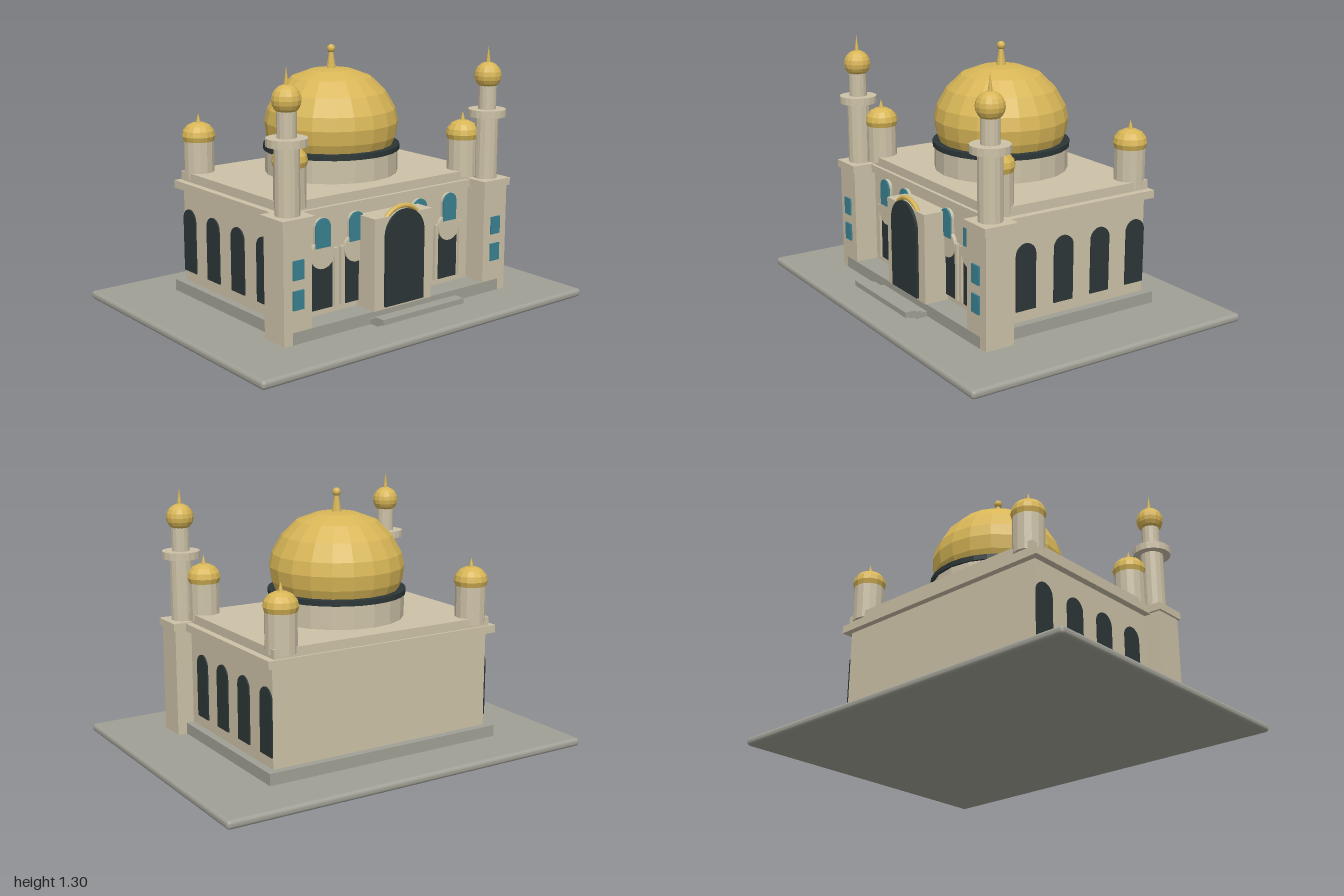
import * as THREE from 'three';
import { RoundedBoxGeometry } from 'three/addons/geometries/RoundedBoxGeometry.js';

const paint = (name, color) => {
  const m = new THREE.MeshStandardMaterial({ color });
  m.name = name;
  return m;
};

export function createModel() {
  const stone = paint('sandstone', 0xcdc2a8);
  const gold = paint('gold', 0xd8b657);
  const paving = paint('grey paving', 0xa0a096);
  const dark = paint('dark glass', 0x2c3637);
  const teal = paint('teal glass', 0x3a8292);
  const model = new THREE.Group();
  model.name = 'domedHall';

  const add = (name, geometry, material, x = 0, y = 0, z = 0, parent = model) => {
    const mesh = new THREE.Mesh(geometry, material);
    mesh.name = name;
    mesh.position.set(x, y, z);
    parent.add(mesh);
    return mesh;
  };
  // Box given by its extents
  const box = (name, mat, x0, x1, y0, y1, z0, z1, parent) =>
    add(name, new THREE.BoxGeometry(x1 - x0, y1 - y0, z1 - z0), mat,
      (x0 + x1) / 2, (y0 + y1) / 2, (z0 + z1) / 2, parent);
  // Faceted normals
  const faceted = (geometry) => {
    const g = geometry.toNonIndexed();
    g.computeVertexNormals();
    return g;
  };
  // Turned part with faceted sides, profile from bottom to top
  const turned = (name, mat, profile, sides, x, z, parent) =>
    add(name, faceted(new THREE.LatheGeometry(profile.map(([r, y]) => new THREE.Vector2(r, y)), sides)),
      mat, x, 0, z, parent);
  const drum = (name, mat, r, y0, y1, sides, x, z, parent) =>
    turned(name, mat, [[0, y0], [r, y0], [r, y1], [0, y1]], sides, x, z, parent);
  // Round-headed plate, standing on its local origin
  const archPlate = (w, h, depth) => {
    const s = new THREE.Shape();
    s.moveTo(-w / 2, 0);
    s.lineTo(w / 2, 0);
    s.lineTo(w / 2, h - w / 2);
    s.absarc(0, h - w / 2, w / 2, 0, Math.PI, false);
    s.lineTo(-w / 2, 0);
    return new THREE.ExtrudeGeometry(s, { depth, bevelEnabled: false, curveSegments: 14 });
  };

  // Ground slab and plinth
  add('groundSlab', new RoundedBoxGeometry(2, 0.042, 1.54, 3, 0.018), paving, 0, 0.021, 0);
  box('plinth', paving, -0.65, 0.65, 0.04, 0.1, -0.51, 0.507);

  // Main hall with two-stage roof edge
  box('hall', stone, -0.61, 0.61, 0.1, 0.59, -0.47, 0.385);
  box('cornice', stone, -0.645, 0.645, 0.583, 0.622, -0.502, 0.41);
  box('roof', stone, -0.61, 0.61, 0.62, 0.667, -0.49, 0.392);

  // Great dome on its drum
  const domeZ = -0.045;
  drum('domeDrum', stone, 0.335, 0.66, 0.79, 20, 0, domeZ);
  drum('domeBand', dark, 0.343, 0.782, 0.808, 32, 0, domeZ);
  turned('greatDome', gold, [[0.307, 0.805], [0.326, 0.85], [0.335, 0.92], [0.321, 0.985],
    [0.273, 1.07], [0.2, 1.142], [0.104, 1.178], [0, 1.187]], 20, 0, domeZ);
  turned('domeFinial', gold, [[0.026, 1.175], [0.01, 1.27], [0, 1.27]], 10, 0, domeZ);
  add('finialBall', new THREE.SphereGeometry(0.021, 12, 8), gold, 0, 1.28, domeZ);

  for (const s of [-1, 1]) {
    const side = s > 0 ? 'left' : 'right';

    // Corner turrets with small domes
    for (const z of [-0.43, 0.34]) {
      const turret = new THREE.Group();
      turret.name = side + (z > 0 ? 'FrontTurret' : 'BackTurret');
      model.add(turret);
      const x = s * 0.54;
      drum('turretDrum', stone, 0.076, 0.635, 0.83, 14, x, z, turret);
      turned('turretDome', gold, [[0, 0.818], [0.075, 0.82], [0.084, 0.848], [0.078, 0.875],
        [0.058, 0.9], [0.03, 0.914], [0, 0.918]], 14, x, z, turret);
      turned('turretSpike', gold, [[0.014, 0.91], [0, 0.962]], 8, x, z, turret);
    }

    // Front tower carrying a minaret
    const tower = new THREE.Group();
    tower.name = side + 'Tower';
    model.add(tower);
    const tx = s * 0.62, tz = 0.43;
    box('towerBase', stone, tx - 0.078, tx + 0.078, 0.04, 0.592, 0.354, 0.505, tower);
    box('towerCap', stone, tx - 0.09, tx + 0.09, 0.588, 0.626, 0.342, 0.516, tower);
    drum('minaretShaft', stone, 0.058, 0.62, 0.95, 14, tx, tz, tower);
    drum('minaretBalcony', stone, 0.095, 0.94, 0.977, 18, tx, tz, tower);
    drum('minaretNeck', stone, 0.045, 0.97, 1.1, 14, tx, tz, tower);
    add('minaretDome', faceted(new THREE.SphereGeometry(0.068, 14, 10)), gold, tx, 1.145, tz, tower);
    turned('minaretSpike', gold, [[0.013, 1.2], [0, 1.292]], 8, tx, tz, tower);
    for (const y of [0.205, 0.345])
      box('towerWindow', teal, tx - 0.03, tx + 0.03, y, y + 0.09, 0.505, 0.514, tower);

    // Side windows
    for (let i = 0; i < 4; i++) {
      const w = add(side + 'SideWindow', archPlate(0.11, 0.325, 0.008), dark, s * 0.609, 0.155, 0.23 - i * 0.215);
      w.rotation.y = s * Math.PI / 2;
    }

    // Front bays: framed window, round tympanum and upper light
    for (const c of [0.2, 0.4]) {
      const bay = new THREE.Group();
      bay.name = side + 'FrontBay';
      bay.position.x = s * c;
      model.add(bay);
      box('bayFrame', stone, -0.09, 0.09, 0.13, 0.415, 0.38, 0.39, bay);
      for (const e of [-1, 1])
        box('bayPilaster', stone, e * 0.081 - 0.009, e * 0.081 + 0.009, 0.13, 0.415, 0.385, 0.402, bay);
      box('bayWindow', dark, -0.06, 0.06, 0.13, 0.4, 0.388, 0.396, bay);
      const disc = add('tympanum', new THREE.CylinderGeometry(0.07, 0.07, 0.02, 24), stone, 0, 0.397, 0.393, bay);
      disc.rotation.x = Math.PI / 2;
      add('upperWindow', archPlate(0.086, 0.14, 0.009), teal, 0, 0.43, 0.399, bay);
      // backing that carries the upper light flush with the disc
      add('upperWindowReveal', archPlate(0.086, 0.14, 0.016), stone, 0, 0.43, 0.384, bay);
    }
  }

  // Entrance portal with gilded arch
  box('portal', stone, -0.18, 0.18, 0.1, 0.55, 0.38, 0.512);
  add('door', archPlate(0.24, 0.462, 0.015), dark, 0, 0.113, 0.511);
  add('goldArch', new THREE.TorusGeometry(0.132, 0.012, 8, 24, Math.PI), gold, 0, 0.455, 0.498);

  // Entrance steps
  const steps = [[0.215, 0.054, 0.525], [0.235, 0.074, 0.567], [0.255, 0.092, 0.608]];
  for (const [w, y, z] of steps) box('step', paving, -w, w, y, y + 0.026, z, z + 0.057);

  return model;
}
